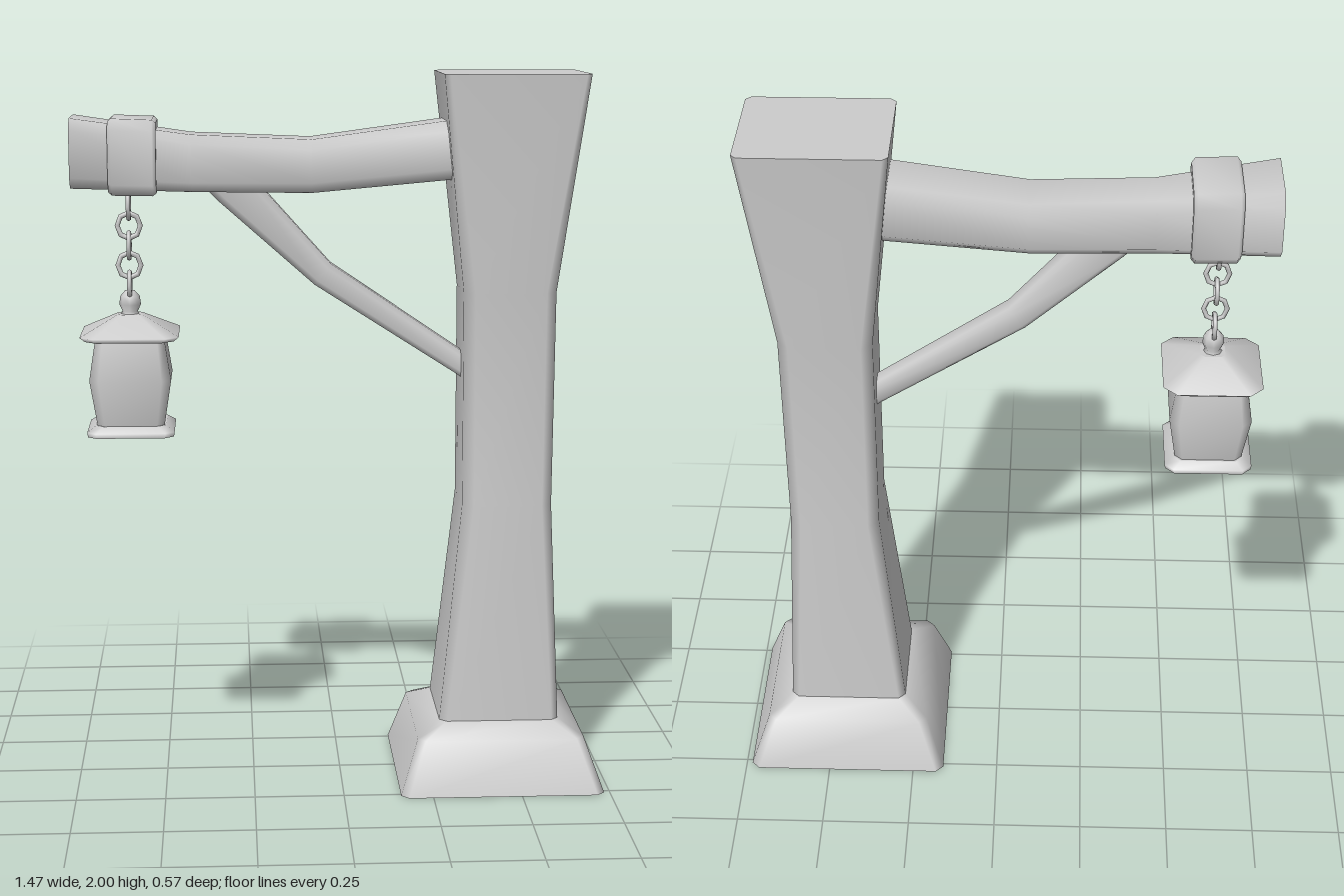
import * as THREE from 'three';

const material = new THREE.MeshStandardMaterial({ color: 0xcccccc });
const UP = 0, LEFTWARD = Math.PI / 2;

function addMesh(parent, name, geometry) {
  const mesh = new THREE.Mesh(geometry, material);
  mesh.name = name;
  parent.add(mesh);
  return mesh;
}

// Lofts chamfered rectangles. Section: [x, y, angle, half width in xy, half depth in z, chamfer].
// Sides share smooth normals; end caps have their own vertices so their rims stay sharp.
function loft(sections) {
  const pos = [], index = [];
  const rings = sections.map(([x, y, a, hu, hv, c]) => {
    const outline = [
      [hu, hv - c], [hu, c - hv], [hu - c, -hv], [c - hu, -hv],
      [-hu, c - hv], [-hu, hv - c], [c - hu, hv], [hu - c, hv],
    ];
    return outline.map(([u, v]) => [x + u * Math.cos(a), y + u * Math.sin(a), v]);
  });
  const n = 8;
  rings.forEach((ring) => ring.forEach((p) => pos.push(...p)));
  for (let r = 0; r < rings.length - 1; r++) {
    for (let i = 0; i < n; i++) {
      const a = r * n + i, b = r * n + (i + 1) % n;
      index.push(a, b, b + n, a, b + n, a + n);
    }
  }
  [rings[0], rings[rings.length - 1]].forEach((ring, end) => {
    const start = pos.length / 3;
    ring.forEach((p) => pos.push(...p));
    for (let i = 1; i < n - 1; i++) {
      if (end) index.push(start, start + i, start + i + 1);
      else index.push(start, start + i + 1, start + i);
    }
  });
  const geometry = new THREE.BufferGeometry();
  geometry.setAttribute('position', new THREE.Float32BufferAttribute(pos, 3));
  geometry.setIndex(index);
  geometry.computeVertexNormals();
  return geometry;
}

export function createModel() {
  const model = new THREE.Group();
  model.name = 'hangingLanternPost';

  // Flared post on a stepped foot
  addMesh(model, 'post', loft([
    [0.445, 0.17, UP, 0.17, 0.168, 0.02],
    [0.466, 0.8, UP, 0.126, 0.13, 0.03],
    [0.468, 1.4, UP, 0.129, 0.125, 0.03],
    [0.475, 2, UP, 0.2, 0.17, 0.015],
  ]));
  addMesh(model, 'foot', loft([
    [0.447, 0, UP, 0.287, 0.284, 0.022],
    [0.445, 0.15, UP, 0.235, 0.235, 0.022],
    [0.445, 0.185, UP, 0.17, 0.168, 0.02],
  ]));

  // Sagging arm, widening to its free end
  addMesh(model, 'arm', loft([
    [0.4, 1.803, LEFTWARD, 0.082, 0.105, 0.03],
    [0.29, 1.79, LEFTWARD, 0.081, 0.104, 0.03],
    [-0.08, 1.748, LEFTWARD, 0.073, 0.096, 0.028],
    [-0.41, 1.757, LEFTWARD, 0.078, 0.09, 0.026],
    [-0.738, 1.787, LEFTWARD, 0.095, 0.123, 0.03],
  ]));

  // Strap around the arm
  addMesh(model, 'strap', loft([
    [-0.504, 1.773, LEFTWARD, 0.095, 0.118, 0.03],
    [-0.514, 1.774, LEFTWARD, 0.103, 0.13, 0.03],
    [-0.625, 1.777, LEFTWARD, 0.104, 0.13, 0.03],
    [-0.635, 1.777, LEFTWARD, 0.096, 0.118, 0.03],
  ]));

  // Bent diagonal brace
  addMesh(model, 'brace', loft([
    [0.4, 1.15, 1.0, 0.031, 0.036, 0.013],
    [0.34, 1.19, 1.0, 0.031, 0.036, 0.013],
    [-0.048, 1.445, 0.9, 0.037, 0.04, 0.015],
    [-0.29, 1.685, 0.75, 0.057, 0.045, 0.018],
    [-0.33, 1.725, 0.75, 0.057, 0.045, 0.018],
  ]));

  // Chain links, alternating by a quarter turn
  const lanternX = -0.585;
  const chain = new THREE.Group();
  chain.name = 'chain';
  model.add(chain);
  for (let i = 0; i < 5; i++) {
    const link = addMesh(chain, 'chainLink', new THREE.TorusGeometry(0.032, 0.007, 6, 8));
    link.position.set(lanternX, 1.636 - i * 0.055, 0);
    link.scale.y = 1.1;
    link.rotation.y = i % 2 ? 0 : Math.PI / 2;
  }

  // Lantern
  const lantern = new THREE.Group();
  lantern.name = 'lantern';
  model.add(lantern);
  const stack = (name, rows) => addMesh(lantern, name,
    loft(rows.map(([y, h, c, d = h]) => [lanternX, y, UP, h, d, c])));
  stack('lanternBase', [
    [1.003, 0.119, 0.025], [1.016, 0.121, 0.025], [1.032, 0.098, 0.022],
  ]);
  stack('lanternBody', [
    [1.025, 0.092, 0.02], [1.16, 0.113, 0.026], [1.275, 0.095, 0.02],
  ]);
  stack('lanternRoof', [
    [1.271, 0.122, 0.032, 0.13], [1.284, 0.136, 0.036, 0.145], [1.336, 0.034, 0.012],
  ]);
  const knob = [[0.03, 1.33], [0.021, 1.342], [0.03, 1.362], [0.027, 1.385], [0.014, 1.4], [0, 1.402]];
  addMesh(lantern, 'lanternKnob',
    new THREE.LatheGeometry(knob.map(([x, y]) => new THREE.Vector2(x, y)), 8)).position.x = lanternX;

  return model;
}
